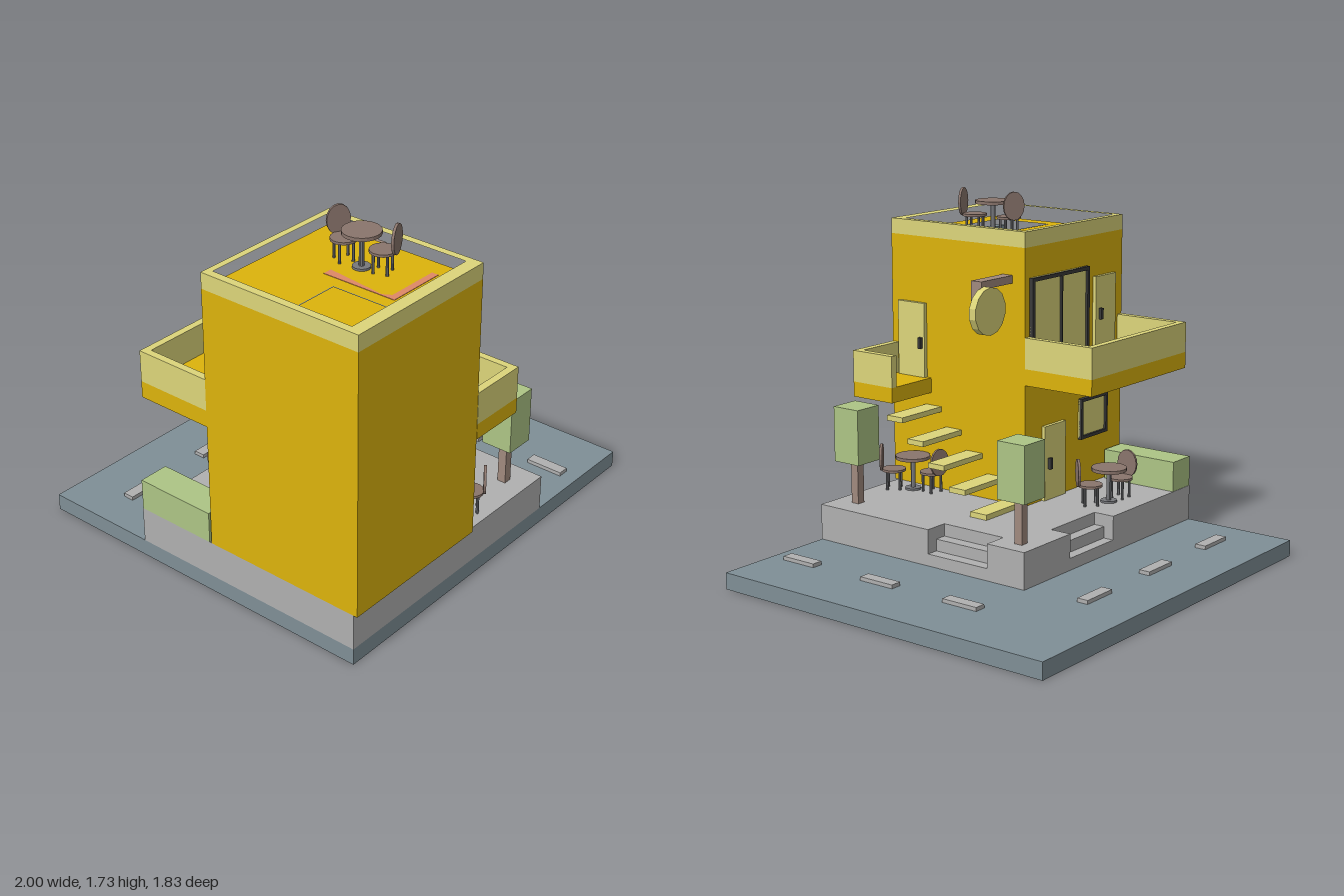
import * as THREE from 'three';

const COLORS = {
  yellow: 0xdcb30c, cream: 0xdcd57a, road: 0x7f8f96, stone: 0xb0b0b0, brown: 0xa08a7e,
  seat: 0x8a756c, metal: 0x77787c, green: 0xadc585, dark: 0x3a3a3a, pink: 0xde8866,
};
const mats = {};
function mat(name) {
  return mats[name] ??= new THREE.MeshStandardMaterial({ color: COLORS[name], flatShading: true });
}

export function createModel() {
  const model = new THREE.Group();

  function add(name, geometry, color, parent = model) {
    const mesh = new THREE.Mesh(geometry, mat(color));
    mesh.name = name;
    parent.add(mesh);
    return mesh;
  }
  // Box given by its limits on each axis
  function box(name, color, [x0, x1], [y0, y1], [z0, z1], parent = model) {
    const g = new THREE.BoxGeometry(x1 - x0, y1 - y0, z1 - z0);
    g.translate((x0 + x1) / 2, (y0 + y1) / 2, (z0 + z1) / 2);
    return add(name, g, color, parent);
  }
  function disc(name, color, r, y0, y1, parent, sides = 16) {
    const g = new THREE.CylinderGeometry(r, r, y1 - y0, sides);
    g.translate(0, (y0 + y1) / 2, 0);
    return add(name, g, color, parent);
  }
  // Floor plan of [x, z] points, with an optional hole, raised from y0 to y1
  function plan(name, color, points, y0, y1, hole) {
    const toV = (list) => list.map(([x, z]) => new THREE.Vector2(x, -z));
    const shape = new THREE.Shape(toV(points));
    if (hole) shape.holes.push(new THREE.Path(toV(hole)));
    const g = new THREE.ExtrudeGeometry(shape, { depth: y1 - y0, bevelEnabled: false });
    g.rotateX(-Math.PI / 2).translate(0, y0, 0);
    return add(name, g, color);
  }
  const rect = (x0, x1, z0, z1) => [[x0, z0], [x1, z0], [x1, z1], [x0, z1]];

  // Road and its dashes
  box('road', 'road', [-1, 1], [0, 0.08], [-0.915, 0.89]);
  for (const x of [-0.81, -0.33, 0.155]) box('roadDash', 'stone', [x, x + 0.187], [0.08, 0.098], [-0.668, -0.612]);
  for (const z of [-0.34, 0.14, 0.622]) box('roadDash', 'stone', [0.65, 0.706], [0.08, 0.098], [z, z + 0.19]);

  // Raised pavement with two notches holding steps
  plan('pavement', 'stone', [
    [-1, -0.338], [-0.33, -0.338], [-0.33, -0.23], [0.015, -0.23], [0.015, -0.338], [0.363, -0.338],
    [0.363, -0.128], [0.245, -0.128], [0.245, 0.218], [0.363, 0.218], [0.363, 0.89], [-1, 0.89],
  ], 0.08, 0.255);
  box('backStep', 'stone', [-0.33, 0.015], [0.08, 0.195], [-0.285, -0.23]);
  box('backStep', 'stone', [-0.33, 0.015], [0.08, 0.138], [-0.338, -0.285]);
  box('sideStep', 'stone', [0.245, 0.304], [0.08, 0.195], [-0.128, 0.218]);
  box('sideStep', 'stone', [0.304, 0.363], [0.08, 0.138], [-0.128, 0.218]);

  // House body with a stairwell sunk in the roof, and the roof parapet
  const outer = rect(-1, -0.2, 0.087, 0.91);
  box('houseBody', 'yellow', [-1, -0.2], [0.255, 1.22], [0.087, 0.91]);
  plan('houseTop', 'yellow', outer, 1.22, 1.505, rect(-0.915, -0.642, 0.483, 0.803));
  plan('parapet', 'cream', outer, 1.505, 1.58, rect(-0.962, -0.236, 0.12, 0.847));
  plan('stairwellLining', 'road', rect(-0.915, -0.642, 0.483, 0.803), 1.22, 1.506, rect(-0.909, -0.648, 0.489, 0.797));
  const treads = [0.489, 0.58, 0.625, 0.665, 0.71, 0.755];
  treads.forEach((z, i) => box('roofStair', 'road', [-0.909, -0.648], [1.22, 1.23 + i * 0.05], [z, 0.797]));

  // Roof floor markings
  plan('roofMarking', 'pink', [[-0.58, 0.38], [-0.535, 0.38], [-0.572, 0.68], [-0.55, 0.717],
    [-0.29, 0.717], [-0.29, 0.75], [-0.58, 0.75]], 1.505, 1.507);

  // Balconies: yellow slab with cream walls
  box('backBalconySlab', 'yellow', [-1, -0.2], [0.85, 0.93], [-0.298, 0.087]);
  plan('backBalconyWall', 'cream', [[-1, 0.087], [-1, -0.298], [-0.2, -0.298], [-0.2, 0.087],
    [-0.232, 0.087], [-0.232, -0.263], [-0.965, -0.263], [-0.965, 0.087]], 0.93, 1.08);
  box('sideBalconySlab', 'yellow', [-0.2, 0.092], [0.735, 0.81], [0.665, 0.912]);
  plan('sideBalconyWall', 'cream', [[0.092, 0.665], [0.092, 0.912], [-0.2, 0.912], [-0.2, 0.875],
    [0.057, 0.875], [0.057, 0.665]], 0.81, 0.965);

  // Floating steps up to the side balcony
  for (let i = 0; i < 5; i++) {
    const z = 0.09 + i * 0.128, y = 0.257 + i * 0.0975;
    box('floatingStep', 'cream', [-0.2, 0.092], [y, y + 0.026], [z, z + 0.097]);
  }

  // Doors with handles
  for (const [x, y] of [[-0.505, 0.255], [-0.92, 0.93]]) {
    box('backDoor', 'cream', [x, x + 0.17], [y, y + 0.37], [0.068, 0.09]);
    box('doorHandle', 'dark', [x + 0.125, x + 0.143], [y + 0.155, y + 0.21], [0.052, 0.068]);
  }
  box('sideDoor', 'cream', [-0.21, -0.18], [0.81, 1.18], [0.69, 0.857]);
  box('doorHandle', 'dark', [-0.18, -0.163], [0.955, 1.01], [0.702, 0.72]);

  // Windows on the back wall: panes between dark frame bars
  function windowUnit(x0, x1, y0, y1, panes, t) {
    const group = new THREE.Group();
    group.name = 'window';
    model.add(group);
    box('windowPane', 'cream', [x0, x1], [y0, y1], [0.078, 0.09], group);
    for (const y of [y0, y1 - t]) box('windowFrame', 'dark', [x0, x1], [y, y + t], [0.066, 0.09], group);
    for (let i = 0; i <= panes; i++) {
      const x = x0 + (x1 - x0 - t) * i / panes;
      const w = i > 0 && i < panes ? t * 0.5 : t;
      box('windowFrame', 'dark', [x, x + w], [y0 + t, y1 - t], [0.066, 0.09], group);
    }
  }
  windowUnit(-0.695, -0.235, 0.935, 1.36, 2, 0.018);
  windowUnit(-0.86, -0.635, 0.5, 0.705, 1, 0.016);

  // Hanging round sign on a bracket, left blank
  box('signArm', 'brown', [-0.2, 0.035], [1.332, 1.37], [0.16, 0.22]);
  box('signDrop', 'brown', [0, 0.035], [1.235, 1.332], [0.16, 0.22]);
  const signGeo = new THREE.CylinderGeometry(0.113, 0.113, 0.038, 14);
  signGeo.rotateX(Math.PI / 2).translate(0.015, 1.233, 0.141);
  add('signDisc', signGeo, 'cream');

  // Trees and hedge
  for (const [x, z] of [[0.265, -0.245], [0.23, 0.772]]) {
    box('treeTrunk', 'brown', [x - 0.021, x + 0.021], [0.255, 0.47], [z - 0.021, z + 0.021]);
    box('treeCrown', 'green', [x - 0.075, x + 0.075], [0.465, 0.735], [z - 0.076, z + 0.076]);
  }
  box('hedge', 'green', [-1, -0.85], [0.255, 0.405], [-0.336, 0.075]);

  // Chair whose back lies towards its own +z
  function chair(parent, x, z, bx, bz) {
    const c = new THREE.Group();
    c.name = 'chair';
    c.position.set(x, 0, z);
    c.rotation.y = Math.atan2(bx, bz);
    parent.add(c);
    disc('chairSeat', 'seat', 0.059, 0.092, 0.104, c);
    for (const sx of [-1, 1]) for (const sz of [-1, 1]) {
      const leg = disc('chairLeg', 'metal', 0.007, 0, 0.092, c, 8);
      leg.position.set(sx * 0.031, 0, sz * 0.031);
    }
    const g = new THREE.CylinderGeometry(0.054, 0.054, 0.012, 16);
    g.rotateX(Math.PI / 2).scale(1, 1.27, 1).translate(0, 0.159, 0.06);
    add('chairBack', g, 'seat', c);
  }
  // Round table with two chairs
  function diningSet(x, y, z, turn) {
    const set = new THREE.Group();
    set.name = 'diningSet';
    set.position.set(x, y, z);
    set.rotation.y = turn;
    model.add(set);
    disc('tableTop', 'seat', 0.086, 0.157, 0.173, set, 20);
    disc('tablePost', 'metal', 0.012, 0, 0.157, set, 10);
    disc('tableFoot', 'metal', 0.04, 0, 0.01, set, 16);
    chair(set, 0.01, -0.105, 0.03, -0.055);
    chair(set, 0.025, 0.092, 0.02, 0.06);
  }
  diningSet(-0.435, 1.505, 0.462, 0);
  diningSet(-0.113, 0.255, 0.715, 0.3);
  diningSet(-0.52, 0.255, -0.18, -1.87);

  return model;
}
